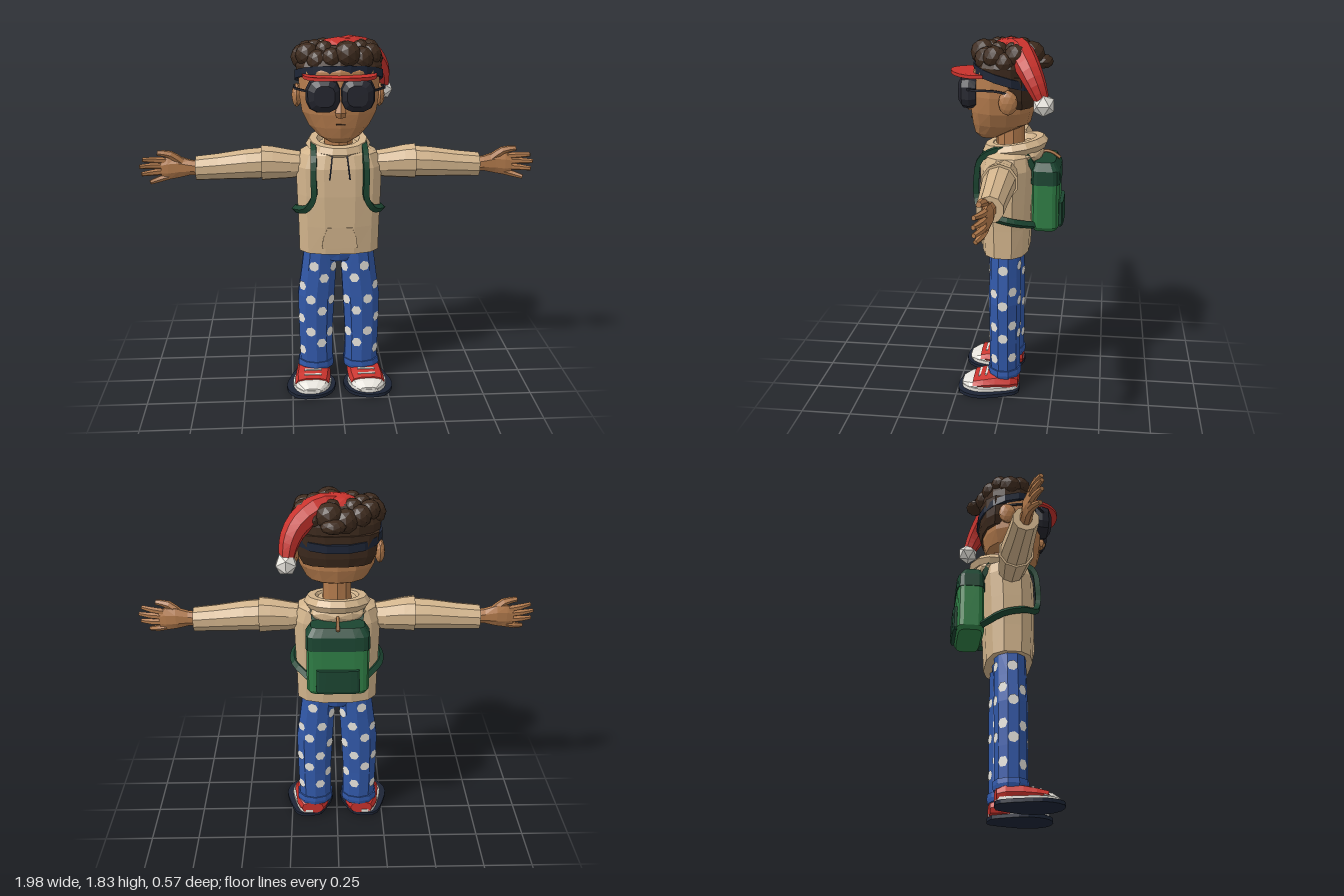
import * as THREE from 'three';

const V = (x, y, z) => new THREE.Vector3(x, y, z);
const mat = (name, color) => { const m = new THREE.MeshStandardMaterial({ color }); m.name = name; return m; };

// joins rings of points into a closed, faceted skin
function skin(rings) {
  const pos = [], n = rings[0].length;
  const tri = (...p) => p.forEach(v => pos.push(v.x, v.y, v.z));
  const mid = r => r.reduce((s, v) => s.add(v), V(0, 0, 0)).divideScalar(n);
  const first = rings[0], last = rings[rings.length - 1], c0 = mid(first), c1 = mid(last);
  for (let j = 0; j < n; j++) {
    const k = (j + 1) % n;
    tri(c0, first[j], first[k]);
    tri(c1, last[k], last[j]);
    for (let i = 0; i + 1 < rings.length; i++) {
      tri(rings[i][j], rings[i + 1][j], rings[i][k]);
      tri(rings[i + 1][j], rings[i + 1][k], rings[i][k]);
    }
  }
  const g = new THREE.BufferGeometry();
  g.setAttribute('position', new THREE.Float32BufferAttribute(pos, 3));
  return g;
}

// one rounded section [t, cu, cv, ru, rv]; (u,v) = (x,z) for axis y, (z,y) for x, (y,x) for z
function section([t, cu, cv, ru, rv], n, p, axis) {
  const bend = c => Math.sign(c) * Math.abs(c) ** (2 / p);
  return Array.from({ length: n }, (_, j) => {
    const a = (j + 0.5) / n * Math.PI * 2;
    const u = cu + ru * bend(Math.cos(a)), v = cv + rv * bend(Math.sin(a));
    return axis === 'y' ? V(u, t, v) : axis === 'x' ? V(t, v, u) : V(v, u, t);
  });
}
const loft = (rings, n = 10, p = 2, axis = 'y') => skin(rings.map(r => section(r, n, p, axis)));

// tapered tube through points
function sweep(points, radii, n = 6, steps = 10) {
  const curve = new THREE.CatmullRomCurve3(points.map(p => V(...p)));
  const f = curve.computeFrenetFrames(steps);
  return skin(f.tangents.map((_, i) => {
    const s = i / steps * (radii.length - 1), k = Math.min(Math.floor(s), radii.length - 2);
    const r = radii.length === 1 ? radii[0] : THREE.MathUtils.lerp(radii[k], radii[k + 1], s - k);
    return Array.from({ length: n }, (_, j) => {
      const a = (j + 0.5) / n * Math.PI * 2;
      return curve.getPoint(i / steps)
        .addScaledVector(f.binormals[i], r * Math.cos(a)).addScaledVector(f.normals[i], r * Math.sin(a));
    });
  }));
}

const ball = (x, y, z, rx, ry, rz, d = 1) => new THREE.IcosahedronGeometry(1, d).scale(rx, ry, rz).translate(x, y, z);

// flat plate lying on the ground plane, outline given as (x, z)
function plate(points, top, depth) {
  const s = new THREE.Shape(new THREE.SplineCurve([...points, points[0]].map(p => new THREE.Vector2(...p))).getPoints(24));
  return new THREE.ExtrudeGeometry(s, { depth, bevelEnabled: false }).rotateX(Math.PI / 2).translate(0, top, 0);
}

export function createModel() {
  const root = new THREE.Group();
  root.name = 'character';
  const skinTone = mat('skin', 0xb27a4c), tan = mat('hoodieTan', 0xd2b48c), blue = mat('trouserBlue', 0x3158a8);
  const white = mat('white', 0xe6e3dc), red = mat('red', 0xc8322c), navy = mat('navy', 0x1d2536);
  const hair = mat('hairBrown', 0x3d2a1d), black = mat('lensBlack', 0x24252e);
  const green = mat('green', 0x2f7d45), darkGreen = mat('darkGreen', 0x1b4531);

  const add = (name, geo, material) => {
    const g = geo.index ? geo.toNonIndexed() : geo;
    g.computeVertexNormals();
    const m = new THREE.Mesh(g, material);
    m.name = name;
    root.add(m);
  };
  // adds a left part and its mirror image
  const pair = (name, geo, material) => {
    const g = geo.index ? geo.toNonIndexed() : geo, m = g.clone().scale(-1, 1, 1), p = m.attributes.position;
    for (let i = 0; i < p.count; i += 3) {
      const a = V().fromBufferAttribute(p, i + 1), b = V().fromBufferAttribute(p, i + 2);
      p.setXYZ(i + 1, b.x, b.y, b.z);
      p.setXYZ(i + 2, a.x, a.y, a.z);
    }
    add(name + 'Left', g, material);
    add(name + 'Right', m, material);
  };

  // shoes
  const outline = [[-.06, -.06], [0, -.075], [.07, -.06], [.115, .05], [.13, .15], [.08, .235],
    [-.02, .248], [-.1, .2], [-.13, .1], [-.095, 0]];
  pair('sole', plate(outline, .018, .018).translate(.15, 0, 0), navy);
  pair('midsole', plate(outline.map(([x, z]) => [x * .78, z * .92]), .036, .02).translate(.145, 0, 0), white);
  pair('shoeUpper', loft([[-.068, .05, .135, .035, .06], [-.03, .055, .135, .05, .085], [.05, .055, .137, .048, .092],
    [.11, .05, .142, .04, .094], [.165, .045, .147, .03, .088]], 10, 2.4, 'z'), red);
  pair('shoeToe', loft([[.14, .042, .146, .029, .094], [.185, .038, .148, .026, .082], [.225, .032, .148, .014, .045]], 10, 2.4, 'z'), white);
  for (const z of [.06, .1, .135])
    pair('lace', new THREE.BoxGeometry(.09, .008, .012).translate(.142, .104 - (z - .05) * .28, z), white);

  // trousers
  const leg = [[.1, .118, .007, .09, .08], [.28, .122, .007, .092, .08], [.5, .118, .007, .1, .083],
    [.64, .104, .007, .094, .081], [.8, .092, .007, .085, .08]];
  pair('trouserLeg', loft(leg), blue);
  pair('trouserCuff', loft([[.08, .122, .007, .094, .084], [.1, .122, .007, .099, .088], [.125, .12, .007, .097, .086]]), blue);
  add('trouserHips', loft([[.7, 0, .007, .1, .07], [.74, 0, .007, .165, .08], [.82, 0, .007, .17, .08]]), blue);
  // white spots, one per facet, staggered up the leg
  for (let j = 0; j < 10; j++) for (let k = 0; k < 3; k++) {
    const y = .19 + k * .185 + (j % 2) * .09 + (j * 7 % 5) * .012;
    const i = Math.max(0, leg.findIndex(r => r[0] > y) - 1);
    const t = (y - leg[i][0]) / (leg[i + 1][0] - leg[i][0]);
    const ring = section(leg[i].map((v, q) => THREE.MathUtils.lerp(v, leg[i + 1][q], t)), 10, 2, 'y');
    const a = ring[j], b = ring[(j + 1) % 10], n = V(b.z - a.z, 0, a.x - b.x).normalize();
    const c = a.clone().add(b).multiplyScalar(.5).addScaledVector(n, .004);
    pair('spot', new THREE.CircleGeometry(.027, 6 + j % 2).rotateY(Math.atan2(n.x, n.z)).translate(c.x, c.y, c.z), white);
  }

  // hoodie
  add('hoodieBody', loft([[.755, 0, .007, .207, .12], [.9, 0, .008, .21, .128], [1.06, 0, .006, .216, .134],
    [1.2, 0, 0, .22, .136], [1.265, 0, -.005, .195, .122], [1.305, 0, -.01, .12, .1]], 12, 2.6), tan);
  add('hoodCollar', new THREE.TorusGeometry(.118, .034, 6, 14).rotateX(Math.PI / 2).scale(1.08, 1, 1.1)
    .rotateX(.16).translate(0, 1.297, -.035), tan);
  add('hoodBack', ball(0, 1.265, -.1, .14, .055, .08), tan);
  const pocket = new THREE.Shape([[-.09, 0], [.09, 0], [.085, .05], [.062, .11], [-.062, .11], [-.085, .05]]
    .map(p => new THREE.Vector2(...p)));
  add('pocket', new THREE.ExtrudeGeometry(pocket, { depth: .008, bevelEnabled: false }).rotateX(.05).translate(0, .79, .122), tan);
  pair('drawstring', sweep([[.034, 1.29, .105], [.042, 1.22, .134], [.05, 1.15, .139]], [.005], 4, 4), navy);
  pair('upperSleeve', loft([[.16, 0, 1.2, .06, .06], [.24, 0, 1.2, .072, .074], [.33, 0, 1.207, .083, .085],
    [.385, 0, 1.208, .09, .09]], 10, 2, 'x'), tan);
  pair('lowerSleeve', loft([[.36, 0, 1.208, .08, .08], [.46, 0, 1.203, .075, .077], [.6, 0, 1.192, .066, .067],
    [.712, 0, 1.185, .062, .062]], 10, 2, 'x'), tan);

  // hands
  pair('palm', loft([[.69, 0, 1.185, .03, .037], [.74, 0, 1.19, .028, .04], [.8, -.003, 1.193, .028, .058],
    [.85, 0, 1.188, .024, .062], [.885, .003, 1.185, .016, .05]], 8, 2, 'x'), skinTone);
  for (const [x0, y0, x1, y1] of [[.86, 1.225, .972, 1.238], [.87, 1.2, .988, 1.203], [.87, 1.17, .98, 1.165], [.85, 1.145, .94, 1.122]])
    pair('finger', sweep([[x0, y0, 0], [(x0 + x1) / 2, (y0 + y1) / 2, .008], [x1, y1, .028]], [.017, .016, .011], 6, 4), skinTone);
  pair('thumb', sweep([[.78, 1.215, 0], [.835, 1.258, .01], [.9, 1.27, .018]], [.022, .02, .013], 6, 4), skinTone);

  // neck, head and ears
  add('neck', loft([[1.26, 0, -.01, .075, .072], [1.43, 0, -.01, .07, .07]]), skinTone);
  add('head', loft([[1.337, 0, .095, .05, .045], [1.365, 0, .082, .1, .085], [1.415, 0, .035, .152, .145],
    [1.48, 0, .03, .185, .157], [1.56, 0, .03, .198, .157], [1.68, 0, .02, .2, .15], [1.76, 0, .01, .15, .12]], 14, 2.2), skinTone);
  add('nose', loft([[1.47, 0, .185, .025, .02], [1.495, 0, .19, .03, .028], [1.55, 0, .18, .015, .015]], 6), skinTone);
  add('mouth', new THREE.BoxGeometry(.045, .006, .008).translate(0, 1.435, .181), hair);
  pair('ear', ball(.205, 1.545, -.02, .025, .06, .046), skinTone);

  // hair: cap, nape and curls
  add('hairCap', loft([[1.635, 0, .005, .205, .152], [1.7, 0, .008, .213, .155], [1.76, 0, .005, .18, .135], [1.795, 0, 0, .11, .09]], 14, 2.2), hair);
  add('hairNape', loft([[1.505, 0, -.06, .165, .075], [1.55, 0, -.055, .19, .092], [1.66, 0, -.05, .203, .105]], 12, 2.2), hair);
  for (let i = 0; i < 14; i++) {
    const a = i / 14 * Math.PI * 2, s = .05 + (i * 5 % 4) * .005;
    add('curl', ball(.168 * Math.cos(a), 1.725 + (i * 3 % 5) * .008, .118 * Math.sin(a), s, s, s), hair);
    if (i % 2) add('topCurl', ball(.115 * Math.cos(a), 1.772, .08 * Math.sin(a), .046, .046, .046), hair);
  }
  add('backCurl', ball(.02, 1.715, -.17, .06, .035, .05), hair);

  // floppy hat with pom-pom
  add('hatCrown', ball(0, 1.762, -.01, .115, .065, .1), red);
  add('hatTail', sweep([[0, 1.75, -.01], [.09, 1.765, -.06], [.18, 1.71, -.11], [.222, 1.64, -.15], [.235, 1.57, -.18]],
    [.07, .068, .06, .05, .036], 8, 10), red);
  add('pompom', new THREE.IcosahedronGeometry(.056, 0).translate(.238, 1.545, -.19), white);

  // visor, its ends drooping slightly
  const visorShape = new THREE.Shape();
  visorShape.absellipse(0, 0, .178, .18, 0, Math.PI, false);
  const visor = new THREE.ExtrudeGeometry(visorShape, { depth: .016, bevelEnabled: false, curveSegments: 14 }).rotateX(Math.PI / 2);
  const vp = visor.attributes.position;
  for (let i = 0; i < vp.count; i++) vp.setY(i, vp.getY(i) + 1.686 - .6 * vp.getX(i) ** 2 - .08 * vp.getZ(i));
  add('visor', visor.translate(0, 0, .102), red);

  // goggles and sloping strap
  pair('lens', loft([[.14, 1.577, .085, .07, .075], [.175, 1.577, .083, .084, .083], [.21, 1.577, .08, .078, .077],
    [.23, 1.577, .077, .05, .05]], 12, 2.7, 'z'), black);
  pair('temple', sweep([[.15, 1.595, .185], [.212, 1.602, .13], [.216, 1.6, .04], [.212, 1.585, -.03]], [.007], 4, 6), black);
  const strap = loft([[-.02, 0, .003, .218, .164], [.02, 0, .003, .218, .164]], 16, 2.2);
  const sp = strap.attributes.position;
  for (let i = 0; i < sp.count; i++) sp.setY(i, sp.getY(i) + 1.645 + .28 * sp.getZ(i));
  add('goggleStrap', strap, navy);

  // backpack
  add('packBody', loft([[.89, 0, -.195, .14, .06], [.91, 0, -.195, .153, .072], [1.14, 0, -.195, .153, .07]], 16, 5), green);
  add('packLid', loft([[1.13, 0, -.195, .157, .075], [1.2, 0, -.195, .155, .072], [1.24, 0, -.19, .13, .052]], 16, 5), darkGreen);
  add('packPocket', loft([[.905, 0, -.262, .1, .02], [.92, 0, -.262, .108, .025], [1.03, 0, -.262, .105, .022]], 12, 5), darkGreen);
  add('packHandle', sweep([[0, 1.235, -.15], [0, 1.268, -.18], [0, 1.262, -.22], [0, 1.235, -.26]], [.009], 5, 8), skinTone);
  pair('packStrap', sweep([[.11, 1.2, -.14], [.118, 1.295, -.08], [.125, 1.3, .03], [.128, 1.25, .125], [.13, 1.15, .146],
    [.13, 1.06, .146], [.165, 1.0, .125], [.212, .98, .06], [.215, .955, -.04], [.14, .92, -.14]], [.02], 4, 28), darkGreen);

  return root;
}
